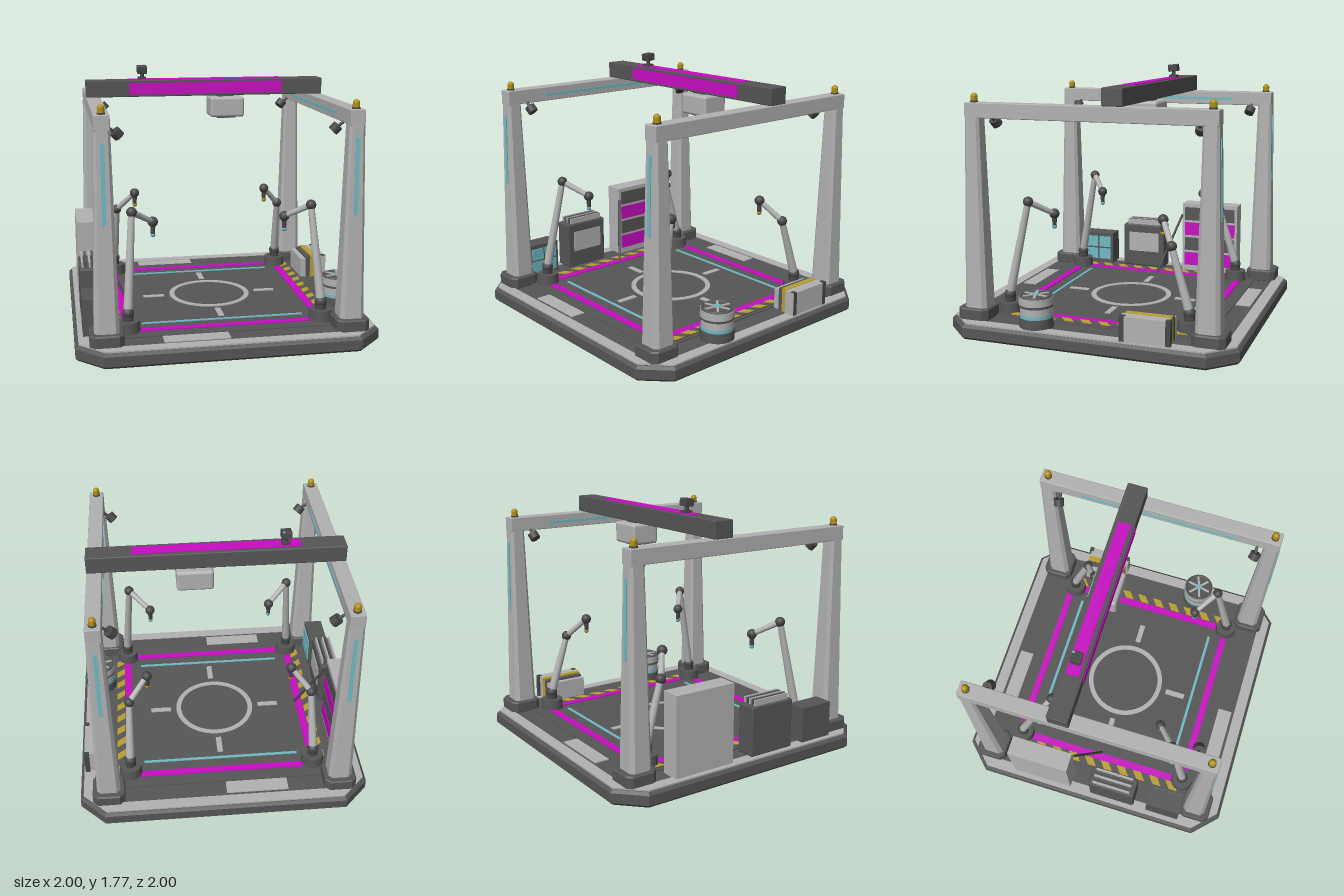
import * as THREE from 'three';
import { RoundedBoxGeometry } from 'three/addons/geometries/RoundedBoxGeometry.js';

const mat = (name, color) => {
  const m = new THREE.MeshStandardMaterial({ color });
  m.name = name;
  return m;
};
const DARK = mat('dark grey', 0x565656);
const JOINT = mat('joint grey', 0x484848);
const LIGHT = mat('light grey', 0xb2b2b2);
const MAGENTA = mat('magenta', 0xc80cc2);
const TEAL = mat('teal', 0x72bac4);
const YELLOW = mat('hazard yellow', 0xb89e32);
const GOLD = mat('lamp gold', 0xb09018);

const V = (x, y, z) => new THREE.Vector3(x, y, z);

export function createModel() {
  const model = new THREE.Group();
  model.name = 'roboticWorkCell';

  const add = (name, geo, material, x = 0, y = 0, z = 0, parent = model) => {
    const m = new THREE.Mesh(geo, material);
    m.name = name;
    m.position.set(x, y, z);
    parent.add(m);
    return m;
  };
  // Box given by its limits on each axis
  const box = (name, material, x0, x1, y0, y1, z0, z1, parent) =>
    add(name, new THREE.BoxGeometry(x1 - x0, y1 - y0, z1 - z0), material,
      (x0 + x1) / 2, (y0 + y1) / 2, (z0 + z1) / 2, parent);
  const cyl = (name, material, r0, r1, h, x, y, z, parent, seg = 24) =>
    add(name, new THREE.CylinderGeometry(r1, r0, h, seg), material, x, y + h / 2, z, parent);
  // Round rod between two points
  const rod = (name, material, a, b, ra, rb, parent) => {
    const d = b.clone().sub(a);
    const m = add(name, new THREE.CylinderGeometry(rb, ra, d.length(), 16), material, 0, 0, 0, parent);
    m.position.copy(a).add(b).multiplyScalar(0.5);
    m.quaternion.setFromUnitVectors(V(0, 1, 0), d.normalize());
    return m;
  };
  // Square outline with cut corners
  const octagon = (h, c, Type = THREE.Shape) => new Type([
    [h, h - c], [h - c, h], [c - h, h], [-h, h - c],
    [-h, c - h], [c - h, -h], [h - c, -h], [h, c - h],
  ].map(([x, y]) => new THREE.Vector2(x, y)));
  const extrudeUp = (shape, h, bevel = 0) => {
    const g = new THREE.ExtrudeGeometry(shape, {
      depth: h - 2 * bevel, bevelEnabled: bevel > 0, bevelSize: bevel,
      bevelThickness: bevel, bevelOffset: -bevel, bevelSegments: 1, curveSegments: 32,
    });
    return g.rotateX(-Math.PI / 2).translate(0, bevel, 0);
  };

  // Platform with a light rim and a dark floor
  add('platform', extrudeUp(octagon(1, 0.17), 0.1, 0.018), DARK);
  const rim = octagon(0.978, 0.162);
  rim.holes.push(octagon(0.9, 0.13, THREE.Path));
  add('platformRim', extrudeUp(rim, 0.01), LIGHT, 0, 0.1, 0);
  add('deck', extrudeUp(octagon(0.9, 0.13), 0.005), DARK, 0, 0.1, 0);
  box('floorPlate', DARK, -0.77, 0.77, 0.1, 0.112, -0.77, 0.77);

  // Floor markings
  const paint = (name, material, x0, x1, z0, z1, y = 0.112) =>
    box(name, material, x0, x1, y, y + 0.006, z0, z1);
  for (const s of [-1, 1]) {
    const span = (a, b) => [Math.min(s * a, s * b), Math.max(s * a, s * b)];
    paint('borderStripe', MAGENTA, -0.68, 0.68, ...span(0.63, 0.68));
    paint('borderStripe', MAGENTA, ...span(0.627, 0.68), -0.63, 0.63);
    paint('guideLine', TEAL, -0.55, 0.55, ...span(0.53, 0.55));
    paint('targetTick', LIGHT, ...span(0.335, 0.485), -0.02, 0.02);
    paint('targetTick', LIGHT, -0.02, 0.02, ...span(0.335, 0.485));
    paint('deckPanel', LIGHT, -0.44, -0.01, ...span(0.775, 0.88), 0.105);
    paint('hazardBase', DARK, ...span(0.682, 0.742), -0.65, 0.65);
    for (let i = 0; i < 10; i++) {
      const z = -0.64 + i * 0.13;
      const [x0, x1] = span(0.682, 0.742);
      const stripe = new THREE.Shape([[x0, -z - 0.045], [x1, -z], [x1, -z - 0.065], [x0, -z - 0.11]]
        .map(([x, y]) => new THREE.Vector2(x, y)));
      add('hazardStripe', extrudeUp(stripe, 0.003), YELLOW, 0, 0.118, 0);
    }
  }
  const ring = new THREE.Shape().absarc(0, 0, 0.292, 0, Math.PI * 2);
  ring.holes.push(new THREE.Path().absarc(0, 0, 0.256, 0, Math.PI * 2));
  add('targetRing', extrudeUp(ring, 0.006), LIGHT, 0, 0.112, 0);

  // Corner columns, feet, lamps and spotlights
  for (const sx of [-1, 1]) for (const sz of [-1, 1]) {
    const corner = new THREE.Group();
    corner.name = 'cornerColumn';
    corner.position.set(sx * 0.8, 0, sz * 0.8);
    model.add(corner);
    add('columnFoot', extrudeUp(octagon(0.11, 0.035), 0.085, 0.008), DARK, 0, 0.1, sz * 0.01, corner);
    const g = extrudeUp(octagon(0.08, 0.025), 1.28);
    const p = g.attributes.position;
    for (let i = 0; i < p.count; i++) {
      const k = 1 - 0.36 * p.getY(i) / 1.28;
      p.setX(i, p.getX(i) * k);
      p.setZ(i, p.getZ(i) * k);
    }
    g.computeVertexNormals();
    add('column', g, LIGHT, 0, 0.18, 0, corner);
    const strip = add('columnLightStrip', new THREE.BoxGeometry(0.026, 0.5, 0.009), TEAL, 0, 1.13, sz * 0.06, corner);
    strip.rotation.x = -sz * 0.0225;
    cyl('lampBase', JOINT, 0.026, 0.026, 0.012, 0, 1.553, 0, corner);
    cyl('lamp', GOLD, 0.023, 0.023, 0.03, 0, 1.565, 0, corner);
    add('lampDome', new THREE.SphereGeometry(0.023, 20, 8, 0, Math.PI * 2, 0, Math.PI / 2), GOLD, 0, 1.592, 0, corner);
    const c = V(sx * 0.7, 1.42, sz * 0.7);
    const dir = V(-sx * 0.62, -0.7, -sz * 0.2).normalize().multiplyScalar(0.025);
    rod('spotlight', JOINT, c.clone().sub(dir), c.clone().add(dir), 0.036, 0.036);
    rod('spotlightBracket', JOINT, V(sx * 0.76, 1.465, sz * 0.7), c, 0.01, 0.01);
  }
  for (const s of [-1, 1]) {
    add('sideBeam', new RoundedBoxGeometry(0.1, 0.1, 1.7, 1, 0.006), LIGHT, s * 0.8, 1.505, 0);
    add('beamLightStrip', new THREE.BoxGeometry(0.008, 0.018, 1.1), TEAL, s * 0.749, 1.5, 0);
  }

  // Overhead gantry
  add('gantryBeam', new RoundedBoxGeometry(1.7, 0.115, 0.14, 1, 0.006), DARK, 0, 1.613, -0.175);
  box('gantryFrontPanel', MAGENTA, -0.55, 0.55, 1.572, 1.654, -0.107, -0.1);
  box('gantryTopPanel', MAGENTA, -0.55, 0.55, 1.668, 1.675, -0.218, -0.132);
  box('cameraBase', JOINT, -0.48, -0.425, 1.67, 1.69, -0.2, -0.145);
  cyl('cameraNeck', JOINT, 0.014, 0.014, 0.04, -0.453, 1.685, -0.172);
  const cam = add('cameraHead', new RoundedBoxGeometry(0.07, 0.052, 0.07, 1, 0.006), JOINT, -0.453, 1.742, -0.172);
  cam.rotation.x = 0.12;
  box('cameraIndicator', TEAL, -0.44, -0.425, 1.764, 1.772, -0.205, -0.19);
  add('hangingScanner', new RoundedBoxGeometry(0.245, 0.145, 0.2, 3, 0.02), LIGHT, 0.148, 1.473, -0.175);
  box('scannerMount', DARK, 0.09, 0.2, 1.53, 1.56, -0.22, -0.13);
  box('scannerBase', JOINT, 0.08, 0.215, 1.392, 1.405, -0.235, -0.115);
  cyl('scannerLens', TEAL, 0.035, 0.035, 0.008, 0.148, 1.386, -0.175);

  // Robot arms, one pose for the front pair and one for the back pair
  const poses = [
    { base: [0.65, 0.65], elbow: [0.604, 0.877, 0.524], wrist: [0.453, 0.775, 0.4], tip: TEAL },
    { base: [0.647, -0.626], elbow: [0.63, 0.658, -0.497], wrist: [0.5, 0.8, -0.398], tip: GOLD },
  ];
  for (const { base, elbow, wrist, tip } of poses) for (const s of [-1, 1]) {
    const arm = new THREE.Group();
    arm.name = 'robotArm';
    model.add(arm);
    const x = s * base[0], z = base[1];
    const shoulder = V(x, 0.235, z);
    const e = V(s * elbow[0], elbow[1], elbow[2]);
    const w = V(s * wrist[0], wrist[1], wrist[2]);
    cyl('armBase', DARK, 0.08, 0.075, 0.078, x, 0.108, z, arm);
    cyl('armTurret', JOINT, 0.036, 0.036, 0.06, x, 0.185, z, arm);
    const ball = (name, at, r) => add(name, new THREE.SphereGeometry(r, 20, 14), JOINT, at.x, at.y, at.z, arm);
    ball('shoulderJoint', shoulder, 0.04);
    rod('lowerLink', LIGHT, shoulder, e, 0.031, 0.022, arm);
    ball('elbowJoint', e, 0.035);
    rod('upperLink', LIGHT, e, w, 0.022, 0.018, arm);
    ball('wristJoint', w, 0.035);
    cyl('toolShaft', JOINT, 0.014, 0.018, 0.07, w.x, w.y - 0.085, w.z, arm);
    add('toolTip', new THREE.SphereGeometry(0.017, 16, 10), tip, w.x, w.y - 0.09, w.z, arm);
  }

  // Shelf cabinet
  box('cabinet', LIGHT, -0.945, -0.81, 0.105, 0.65, -0.595, -0.15);
  [0.15, 0.273, 0.396, 0.519].forEach((y, i) =>
    box('cabinetDrawer', i % 2 ? DARK : MAGENTA, -0.811, -0.802, y, y + 0.103, -0.575, -0.172));
  rod('leaningRod', JOINT, V(-0.62, 0.12, 0), V(-0.805, 0.56, -0.15), 0.009, 0.009);

  // Generator with cooling fins
  add('generator', new RoundedBoxGeometry(0.14, 0.345, 0.345, 1, 0.012), DARK, -0.875, 0.278, 0.178);
  box('generatorPanel', LIGHT, -0.806, -0.799, 0.23, 0.385, 0.05, 0.3);
  for (let i = 0; i < 5; i++) {
    const x = -0.925 + i * 0.025;
    box('coolingFin', i % 2 ? DARK : LIGHT, x - 0.006, x + 0.006, 0.44, 0.49, 0.035, 0.315);
  }

  // Parts crate
  box('partsCrate', DARK, -0.945, -0.81, 0.105, 0.355, 0.45, 0.7);
  for (const y of [0.137, 0.238]) for (const z of [0.47, 0.582])
    box('crateWindow', TEAL, -0.811, -0.803, y, y + 0.088, z, z + 0.098);

  // Fan drum
  const drum = new THREE.Group();
  drum.name = 'fanDrum';
  drum.position.set(0.862, 0, 0.353);
  model.add(drum);
  [[DARK, 0.113, 0.105, 0.175], [TEAL, 0.108, 0.175, 0.198], [LIGHT, 0.106, 0.198, 0.245],
    [DARK, 0.109, 0.245, 0.262], [LIGHT, 0.113, 0.262, 0.312]].forEach(([m, r, y0, y1]) =>
    cyl('drumBand', m, r, r, y1 - y0, 0, y0, 0, drum, 32));
  cyl('fanGrille', DARK, 0.092, 0.092, 0.006, 0, 0.312, 0, drum, 32);
  const lip = add('drumLip', new THREE.TorusGeometry(0.1, 0.01, 8, 32), DARK, 0, 0.314, 0, drum);
  lip.rotation.x = Math.PI / 2;
  for (let i = 0; i < 3; i++) {
    const blade = add('fanBlade', new THREE.BoxGeometry(0.18, 0.008, 0.016), LIGHT, 0, 0.32, 0, drum);
    blade.rotation.y = i * Math.PI / 3 + 0.3;
  }
  cyl('fanHub', TEAL, 0.022, 0.022, 0.014, 0, 0.315, 0, drum);

  // Layered supply case
  box('caseInner', LIGHT, 0.775, 0.815, 0.105, 0.25, -0.58, -0.28);
  box('caseCore', DARK, 0.815, 0.85, 0.105, 0.265, -0.58, -0.28);
  box('caseBand', YELLOW, 0.85, 0.892, 0.105, 0.275, -0.58, -0.275);
  box('caseOuter', LIGHT, 0.892, 0.967, 0.105, 0.272, -0.58, -0.26);
  for (const z of [-0.58, -0.278])
    box('caseLatch', JOINT, 0.935, 0.968, 0.105, 0.276, z - 0.016, z + 0.016);

  return model;
}
